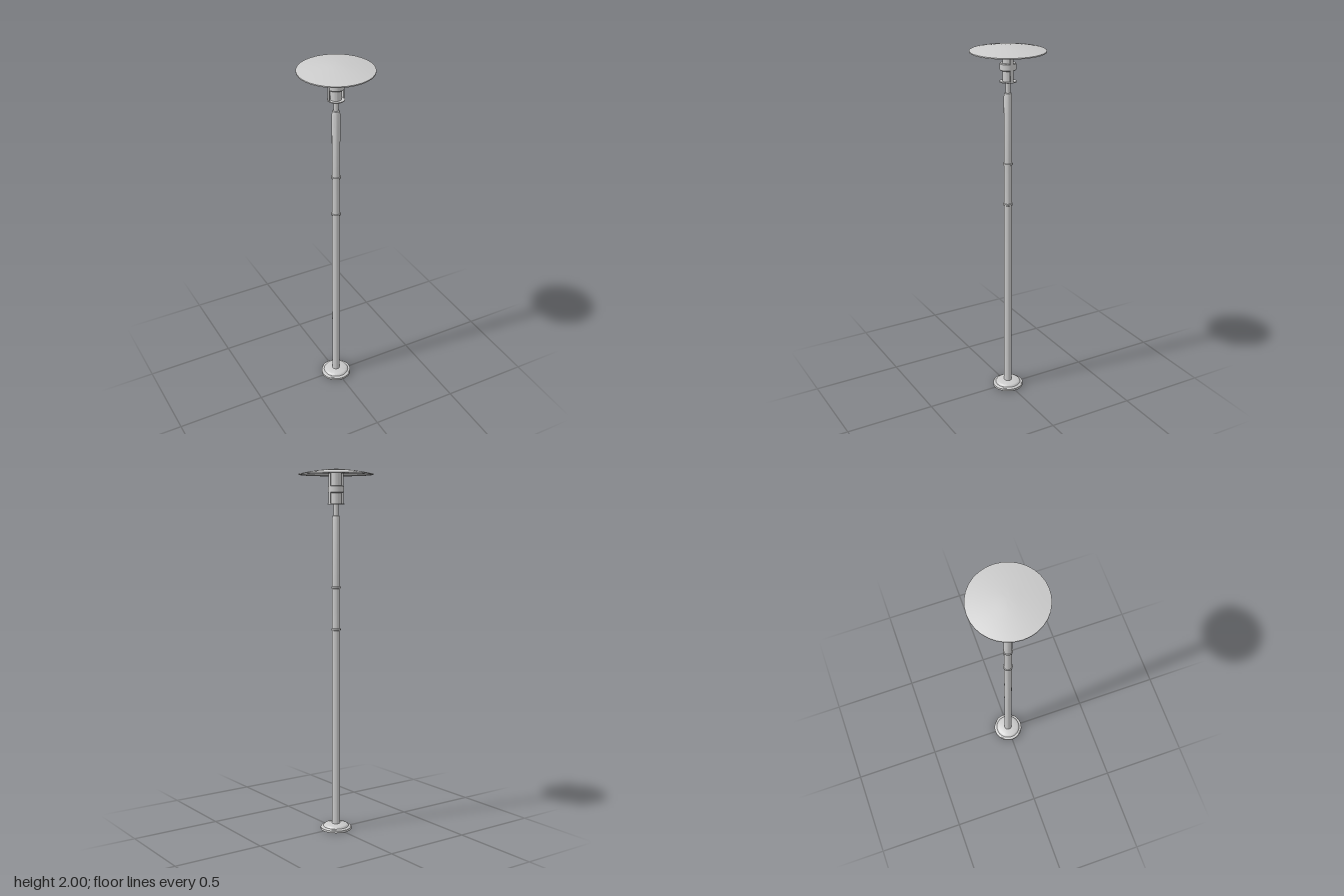
import * as THREE from 'three';
import { toCreasedNormals } from 'three/addons/utils/BufferGeometryUtils.js';

const material = new THREE.MeshStandardMaterial({ color: 0xcccccc, side: THREE.DoubleSide });

export function createModel() {
  const group = new THREE.Group();
  group.name = 'lampPost';

  const add = (name, geometry) => {
    const mesh = new THREE.Mesh(geometry, material);
    mesh.name = name;
    group.add(mesh);
    return mesh;
  };
  // Turned part from [radius, height] pairs, listed bottom to top on the outside
  const turned = (name, profile, sides = 32) => add(name, toCreasedNormals(
    new THREE.LatheGeometry(profile.map(([r, y]) => new THREE.Vector2(r, y)), sides), 0.5));

  // Stepped base flange, hollow underneath
  turned('baseFlange', [
    [0.022, 0.022], [0.06, 0.02], [0.078, 0.008], [0.08, 0], [0.087, 0],
    [0.087, 0.012], [0.083, 0.016], [0.072, 0.018], [0.067, 0.026], [0.06, 0.03], [0.022, 0.032],
  ]);

  // Pole in three sections, tapering into the thin neck
  turned('lowerPole', [[0, 0.02], [0.022, 0.02], [0.022, 1.135]], 24);
  turned('middlePole', [[0.022, 1.135], [0.022, 1.365]], 24);
  turned('upperPole', [[0.022, 1.365], [0.022, 1.735], [0.019, 1.752], [0.013, 1.754]], 24);
  turned('neck', [[0.013, 1.75], [0.013, 1.815]], 24);

  // Joint collars
  for (const y of [1.135, 1.365]) {
    turned('jointCollar', [
      [0.022, y - 0.006], [0.026, y - 0.004], [0.026, y + 0.004], [0.022, y + 0.006],
    ], 24);
  }

  // Lamp head: bottom plate, core and central band
  turned('bottomPlate', [[0, 1.812], [0.045, 1.812], [0.045, 1.817], [0, 1.817]]);
  turned('lampCore', [[0.029, 1.815], [0.029, 1.985]]);
  turned('lampBand', [
    [0.029, 1.873], [0.04, 1.873], [0.043, 1.877], [0.043, 1.908], [0.04, 1.912], [0.029, 1.912],
  ]);

  // Side struts carrying the shade
  for (const side of [-1, 1]) {
    const strut = add('shadeStrut', new THREE.BoxGeometry(0.005, 0.166, 0.018));
    strut.position.set(side * 0.041, 1.898, 0);
  }

  // Wide shallow shade with a short rim and a hollow underside
  turned('shade', [
    [0, 1.99], [0.06, 1.988], [0.13, 1.98], [0.185, 1.973], [0.19, 1.969], [0.2, 1.969],
    [0.2, 1.975], [0.16, 1.983], [0.11, 1.991], [0.06, 1.997], [0.025, 2], [0, 2],
  ]);

  return group;
}
